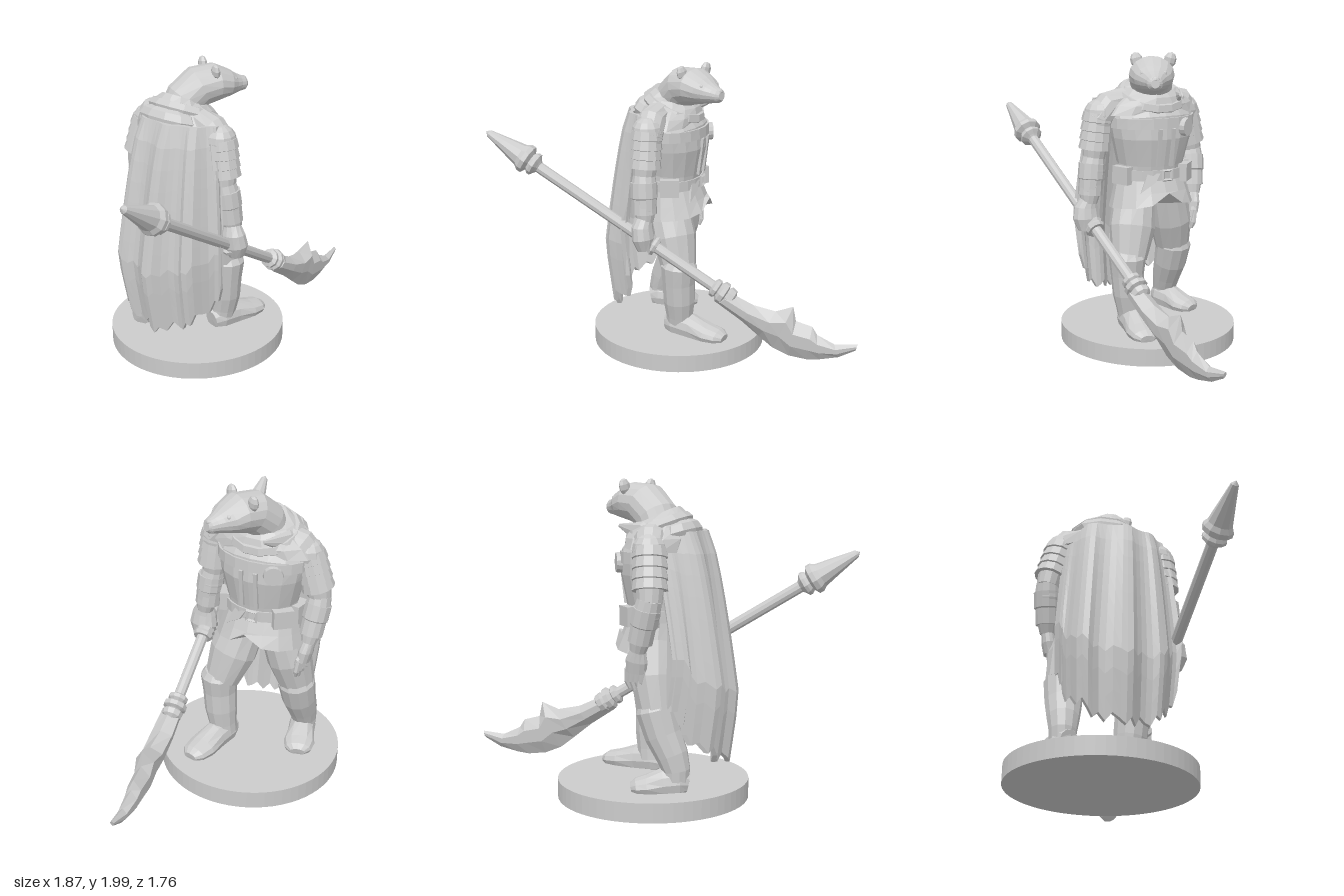
import * as THREE from 'three';

const V = (x, y, z) => new THREE.Vector3(x, y, z);
const grey = new THREE.MeshStandardMaterial({ color: 0xcccccc, flatShading: true, side: THREE.DoubleSide });

function add(parent, name, geo, pos = [0, 0, 0], rot = [0, 0, 0], scale = [1, 1, 1]) {
  const m = new THREE.Mesh(geo, grey);
  m.name = name;
  m.position.set(...pos);
  m.rotation.set(...rot);
  m.scale.set(...scale);
  parent.add(m);
  return m;
}

// Skin a list of equal-length point rings, closing both ends
function loft(rings) {
  const n = rings[0].length, pos = [], idx = [];
  rings.forEach(r => r.forEach(p => pos.push(p.x, p.y, p.z)));
  for (let i = 0; i < rings.length - 1; i++)
    for (let j = 0; j < n; j++) {
      const a = i * n + j, b = i * n + (j + 1) % n;
      idx.push(a, b, b + n, a, b + n, a + n);
    }
  [0, rings.length - 1].forEach(i => {
    const c = rings[i].reduce((s, p) => s.add(p), V(0, 0, 0)).divideScalar(n), k = pos.length / 3;
    pos.push(c.x, c.y, c.z);
    for (let j = 0; j < n; j++) {
      const a = i * n + j, b = i * n + (j + 1) % n;
      if (i) idx.push(k, a, b); else idx.push(k, b, a);
    }
  });
  const g = new THREE.BufferGeometry();
  g.setAttribute('position', new THREE.Float32BufferAttribute(pos, 3));
  g.setIndex(idx);
  g.computeVertexNormals();
  return g;
}

// Elliptical sections [x, y, z, sideRadius, otherRadius] following their own path
function limb(parent, name, pts, side = [0.6, 0, 0.8], floor = 0, n = 12) {
  const c = pts.map(p => V(p[0], p[1], p[2]));
  const rings = c.map((p, i) => {
    const d = c[Math.min(i + 1, c.length - 1)].clone().sub(c[Math.max(i - 1, 0)]).normalize();
    const u = V(...side).addScaledVector(d, -V(...side).dot(d)).normalize();
    const v = d.clone().cross(u), [, , , a, b = a] = pts[i];
    return Array.from({ length: n }, (_, j) => {
      const t = j / n * Math.PI * 2;
      const q = p.clone().addScaledVector(u, a * Math.cos(t)).addScaledVector(v, b * Math.sin(t));
      q.y = Math.max(q.y, floor);
      return q;
    });
  });
  return add(parent, name, loft(rings));
}

// Overlapping armour bands running from one point to another
function bands(parent, name, from, to, r0, r1, count) {
  const pts = [];
  for (let k = 0; k < count; k++)
    for (const e of [0.02, 0.95]) {
      const t = (k + e) / count, r = r0 + (r1 - r0) * t;
      pts.push([...from.map((f, i) => f + (to[i] - f) * t), r * (e > 0.5 ? 1.04 : 0.95)]);
    }
  limb(parent, name, pts);
}

function buildTorso(root) {
  // Body frame: x is the wearer's left, z is forward
  const b = new THREE.Group();
  b.name = 'torso';
  b.position.set(-0.37, 0, -0.26);
  b.rotation.y = 2.21;
  root.add(b);
  const X = [1, 0, 0];
  const skirt = limb(b, 'tunicSkirt', [[0, 0.94, 0.03, 0.3, 0.25], [0, 1.03, 0.02, 0.275, 0.22], [0, 1.18, 0, 0.235, 0.18]], X, 0, 16);
  // Split the hem at the front
  const hem = skirt.geometry.attributes.position;
  [[11, 0.98], [12, 1.06], [13, 0.98]].forEach(([j, y]) => hem.setY(j, y));
  limb(b, 'chest', [[0, 1.12, 0.01, 0.235, 0.175], [0, 1.24, 0.015, 0.24, 0.19], [0, 1.42, 0.025, 0.285, 0.215],
    [0, 1.54, 0.02, 0.305, 0.21], [0, 1.64, -0.01, 0.28, 0.175], [0, 1.72, -0.01, 0.15, 0.13]], X, 0, 16);
  limb(b, 'belt', [[0, 1.135, 0.01, 0.252, 0.2], [0, 1.205, 0.01, 0.252, 0.2]], X, 0, 20);
  add(b, 'buckle', new THREE.TorusGeometry(0.045, 0.013, 4, 4), [0.02, 1.17, 0.215], [0, 0, Math.PI / 4]);
  for (const [x, z, a] of [[-0.24, 0.07, -1.2], [0.2, 0.14, 0.75], [0.25, 0.0, 1.45]])
    add(b, 'pouch', new THREE.BoxGeometry(0.13, 0.12, 0.07), [x, 1.17, z], [0, a, 0]);
  // Pointed cloth tab under the belt
  const tab = new THREE.Shape([[-0.02, 0.07], [0.07, 0.07], [0.03, 0.01], [-0.08, -0.05]].map(p => new THREE.Vector2(...p)));
  add(b, 'tunicTab', new THREE.ExtrudeGeometry(tab, { depth: 0.02, bevelEnabled: false }), [-0.09, 1.11, 0.19], [-0.25, -0.3, 0]);
  // Jerkin closure, chest strap and clasp
  for (const x of [-0.05, 0.05]) add(b, 'jerkinEdge', new THREE.BoxGeometry(0.025, 0.26, 0.02), [x, 1.36, 0.226], [0.12, 0, 0]);
  limb(b, 'chestStrap', [[0, 0, 0.02, 0.312, 0.226], [0, 0.07, 0.02, 0.312, 0.222]], X, -1, 20).position.y = 1.49;
  add(b, 'clasp', new THREE.CylinderGeometry(0.06, 0.065, 0.04, 14), [0.16, 1.49, 0.215], [Math.PI / 2, 0, -0.5]);
  // Draped cowl and lowered hood
  limb(b, 'cowl', [[0, 1.57, -0.01, 0.36, 0.21], [0, 1.64, -0.015, 0.31, 0.22], [0, 1.7, -0.01, 0.23, 0.2],
    [0, 1.75, -0.01, 0.18, 0.17], [0, 1.77, 0, 0.13, 0.13]], X, 0, 14);
  add(b, 'cowlFold', new THREE.TorusGeometry(0.18, 0.045, 6, 14), [0, 1.685, 0.015], [Math.PI / 2 + 0.4, 0, 0], [1.1, 1, 1]);
  add(b, 'hood', new THREE.SphereGeometry(0.15, 10, 6), [0, 1.67, -0.14], [0.3, 0, 0], [1.5, 0.6, 0.75]);
}

function buildHead(root) {
  const h = new THREE.Group();
  h.name = 'head';
  root.add(h);
  limb(h, 'skull', [[-0.39, 1.66, -0.265, 0.14, 0.13], [-0.34, 1.76, -0.275, 0.142, 0.135], [-0.25, 1.835, -0.285, 0.148, 0.135],
    [-0.14, 1.85, -0.3, 0.15, 0.122], [-0.06, 1.832, -0.318, 0.125, 0.092], [-0.01, 1.822, -0.328, 0.085, 0.07], [0.03, 1.818, -0.338, 0.062, 0.055],
    [0.065, 1.815, -0.345, 0.05, 0.045], [0.083, 1.817, -0.35, 0.028, 0.028]], [0.24, 0, 0.97], 0, 16);
  add(h, 'nose', new THREE.SphereGeometry(0.024, 8, 6), [0.062, 1.843, -0.348], [0, 0.24, 0], [0.9, 0.8, 1.2]);
  add(h, 'mouth', new THREE.BoxGeometry(0.06, 0.01, 0.088), [0.035, 1.793, -0.338], [0, 0.24, 0.1]);
  for (const s of [-1, 1]) {
    add(h, 'ear', new THREE.SphereGeometry(0.05, 8, 5), [-0.175 + s * 0.02, 1.943, -0.305 + s * 0.108], [s * 0.25, 0.24, 0], [0.55, 1.05, 0.85]);
    add(h, 'eye', new THREE.SphereGeometry(0.016, 8, 6), [-0.03 + s * 0.015, 1.872, -0.325 + s * 0.07]);
  }
}

function buildArms(root) {
  limb(root, 'rightUpperArm', [[-0.29, 1.66, -0.1, 0.09], [-0.22, 1.63, 0, 0.1], [-0.17, 1.55, 0.06, 0.098], [-0.17, 1.42, 0.075, 0.09], [-0.17, 1.28, 0.09, 0.075]]);
  add(root, 'rightShoulder', new THREE.SphereGeometry(0.105, 12, 8), [-0.185, 1.575, 0.055]);
  bands(root, 'rightShoulderArmour', [-0.18, 1.59, 0.06], [-0.165, 1.34, 0.085], 0.105, 0.105, 4);
  limb(root, 'rightForearm', [[-0.17, 1.29, 0.09, 0.075], [-0.155, 1.2, 0.1, 0.09], [-0.13, 1.06, 0.11, 0.075], [-0.12, 0.98, 0.115, 0.055]]);
  bands(root, 'rightBracer', [-0.16, 1.25, 0.1], [-0.135, 1.03, 0.11], 0.095, 0.08, 2);
  limb(root, 'rightHand', [[-0.125, 1.01, 0.12, 0.055], [-0.125, 0.95, 0.135, 0.085, 0.07], [-0.115, 0.87, 0.13, 0.098, 0.075], [-0.1, 0.79, 0.13, 0.055, 0.05]]);
  limb(root, 'leftUpperArm', [[-0.45, 1.66, -0.36, 0.09], [-0.52, 1.63, -0.44, 0.1], [-0.57, 1.55, -0.48, 0.098], [-0.61, 1.42, -0.5, 0.09], [-0.63, 1.27, -0.52, 0.075]]);
  add(root, 'leftShoulder', new THREE.SphereGeometry(0.105, 12, 8), [-0.555, 1.575, -0.47]);
  bands(root, 'leftShoulderArmour', [-0.56, 1.59, -0.47], [-0.62, 1.34, -0.51], 0.105, 0.105, 4);
  limb(root, 'leftForearm', [[-0.63, 1.29, -0.52, 0.075], [-0.61, 1.2, -0.53, 0.085], [-0.57, 1.05, -0.545, 0.065], [-0.55, 0.98, -0.55, 0.05]]);
  bands(root, 'leftBracer', [-0.62, 1.24, -0.53], [-0.565, 1.03, -0.545], 0.09, 0.073, 2);
  limb(root, 'leftHand', [[-0.555, 1.0, -0.55, 0.04, 0.045], [-0.535, 0.92, -0.55, 0.045, 0.07], [-0.52, 0.85, -0.545, 0.04, 0.065]]);
  for (let k = 0; k < 4; k++) {
    const x = -0.565 + k * 0.03, z = -0.525 - k * 0.016;
    limb(root, 'leftFinger', [[x, 0.87, z, 0.02], [x + 0.015, 0.79, z + 0.005, 0.019], [x + 0.01, 0.73 + Math.abs(k - 1.5) * 0.012, z + 0.02, 0.012]], [0.6, 0, 0.8], 0, 6);
  }
  limb(root, 'leftThumb', [[-0.52, 0.93, -0.56, 0.02], [-0.47, 0.87, -0.565, 0.02], [-0.46, 0.82, -0.555, 0.012]], [0.6, 0, 0.8], 0, 6);
  // Pointed end of the hood lying on the left shoulder
  limb(root, 'hoodPoint', [[-0.57, 1.62, -0.4, 0.03, 0.05], [-0.42, 1.67, -0.44, 0.035, 0.07], [-0.24, 1.71, -0.48, 0.008, 0.012]], [0.25, 0, 0.97], 0, 8);
}

function buildLegs(root) {
  limb(root, 'rightThigh', [[-0.29, 1.0, -0.17, 0.14, 0.15], [-0.2, 0.8, -0.17, 0.16, 0.15], [-0.13, 0.6, -0.16, 0.12]]);
  limb(root, 'rightGreave', [[-0.11, 0.66, -0.155, 0.1], [-0.11, 0.62, -0.15, 0.127], [-0.115, 0.5, -0.15, 0.114], [-0.12, 0.36, -0.16, 0.11], [-0.13, 0.25, -0.17, 0.095], [-0.14, 0.18, -0.175, 0.09]]);
  limb(root, 'leftThigh', [[-0.45, 1.0, -0.37, 0.14, 0.15], [-0.5, 0.8, -0.4, 0.15], [-0.56, 0.6, -0.41, 0.12]]);
  limb(root, 'leftGreave', [[-0.54, 0.66, -0.42, 0.1], [-0.55, 0.61, -0.42, 0.125], [-0.59, 0.46, -0.395, 0.115], [-0.64, 0.34, -0.365, 0.1], [-0.665, 0.25, -0.35, 0.085], [-0.665, 0.18, -0.35, 0.08]]);
  // Boots, from heel [x, z] to toe
  for (const [name, hx, hz, tx, tz] of [['rightBoot', -0.2, -0.14, 0.185, -0.33], ['leftBoot', -0.69, -0.3, -0.5, -0.57]]) {
    const at = (t, y, a, b) => [hx + (tx - hx) * t, y, hz + (tz - hz) * t, a, b];
    limb(root, name, [at(-0.05, 0.17, 0.06, 0.07), at(0.1, 0.18, 0.09, 0.1), at(0.4, 0.17, 0.09, 0.095), at(0.7, 0.155, 0.105, 0.065), at(0.9, 0.148, 0.09, 0.05), at(1, 0.14, 0.05, 0.03)],
      [hz - tz, 0, tx - hx], 0.12);
  }
}

// Thick pleated cloak hanging from the shoulders with a torn hem
function buildCloak(root) {
  const curve = a => new THREE.CatmullRomCurve3(a.map(p => V(p[0], 0, p[1])));
  const top = curve([[-0.55, -0.44], [-0.63, -0.25], [-0.53, -0.04], [-0.38, 0.07], [-0.22, 0.1]]);
  const low = curve([[-0.76, -0.4], [-0.88, -0.19], [-0.76, 0.06], [-0.5, 0.22], [-0.21, 0.26]]);
  const point = (k, v, inset) => {
    const u = k / 28, w = Math.pow(v, 0.7) - Math.max(0, v - 0.72) * 1.5;
    const fold = Math.max(-0.7, Math.min(0.7, Math.sin(u * Math.PI * 8 + 0.6))) * 0.04 * (0.35 + w) - inset;
    const hem = 0.24 + 1.3 * (u - 0.54) ** 2 + [0, 0.05, 0.01, 0.07, 0.03][k % 5];
    const q = top.getPoint(u).lerp(low.getPoint(u), w);
    return V(q.x - 0.7 * fold, 1.68 + (hem - 1.68) * v, q.z + 0.7 * fold);
  };
  const rows = Array.from({ length: 11 }, (_, i) => i / 10);
  const rings = Array.from({ length: 29 }, (_, k) =>
    [...rows.map(v => point(k, v, 0)), ...rows.toReversed().map(v => point(k, v, 0.03))]);
  add(root, 'cloak', loft(rings));
}

function buildGlaive(root) {
  const s = new THREE.Group();
  s.name = 'glaiveShaft';
  s.position.set(-0.72, 1.355, 0.67);
  s.quaternion.setFromUnitVectors(V(0, 1, 0), V(0.97, -0.825, -0.92).normalize());
  root.add(s);
  // Butt spike, shaft and collars in one turned profile
  const profile = [[0, -0.345], [0.025, -0.32], [0.05, -0.2], [0.08, -0.06], [0.1, -0.03], [0.1, 0], [0.065, 0.02], [0.08, 0.04],
    [0.08, 0.06], [0.05, 0.08], [0.038, 0.09], [0.038, 1.5], [0.065, 1.515], [0.065, 1.54], [0.05, 1.55], [0.078, 1.57],
    [0.078, 1.6], [0.05, 1.61], [0.07, 1.625], [0.065, 1.66], [0, 1.7]];
  add(s, 'shaftAndSpike', new THREE.LatheGeometry(profile.map(q => new THREE.Vector2(...q)), 10));
  for (let k = 0; k < 4; k++) add(s, 'rightFinger', new THREE.TorusGeometry(0.05, 0.022, 6, 10), [0, 0.92 + k * 0.037, 0], [Math.PI / 2, 0, 0]);
  // Blade: back point, edge point and half thickness at each station
  const st = [[0.31, 0.53, 0.24, 0.45, 0.065], [0.42, 0.46, 0.36, 0.34, 0.072], [0.53, 0.43, 0.45, 0.24, 0.068], [0.615, 0.475, 0.52, 0.165, 0.062],
    [0.63, 0.375, 0.6, 0.12, 0.055], [0.71, 0.345, 0.69, 0.105, 0.047], [0.735, 0.29, 0.75, 0.115, 0.042], [0.82, 0.235, 0.84, 0.145, 0.03], [0.93, 0.25, 0.92, 0.205, 0.012]];
  const blade = loft(st.map(([ax, ay, bx, by, h]) => {
    const at = (t, z) => V((ax + (bx - ax) * t) * 1.373, ay + (by - ay) * t, z);
    return [at(0, 0), at(0.3, h), at(0.65, h * 0.9), at(1, 0), at(0.65, -h * 0.9), at(0.3, -h)];
  }));
  add(root, 'glaiveBlade', blade, [0, 0, 0], [0, 0.755, 0]);
}

export function createModel() {
  const root = new THREE.Group();
  root.name = 'bearWarrior';
  add(root, 'base', new THREE.CylinderGeometry(0.605, 0.605, 0.12, 64), [-0.293, 0.06, -0.27]);
  [buildLegs, buildTorso, buildArms, buildHead, buildCloak, buildGlaive].forEach(f => f(root));
  return root;
}
